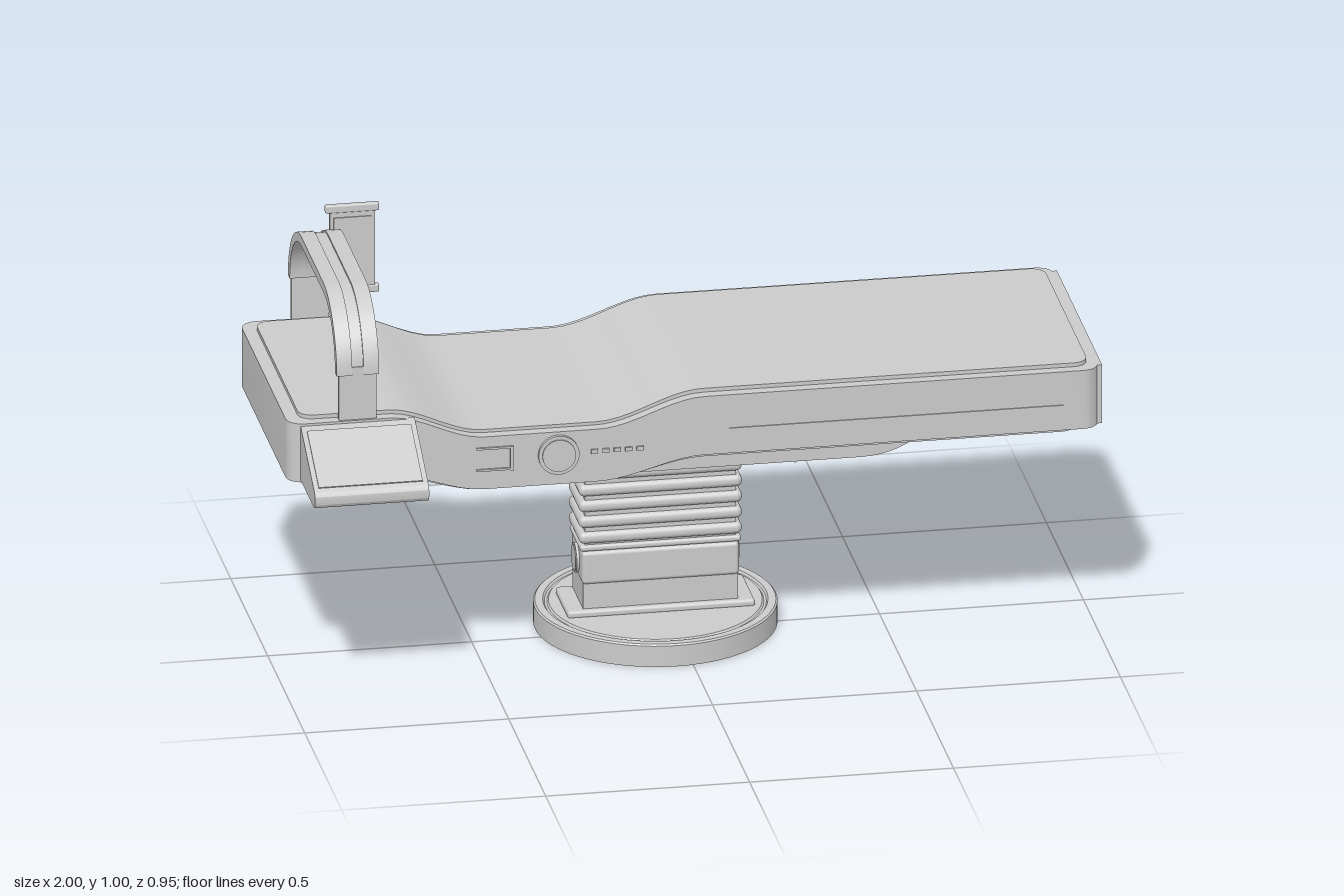
import * as THREE from 'three';
import { toCreasedNormals } from 'three/addons/utils/BufferGeometryUtils.js';
import { RoundedBoxGeometry } from 'three/addons/geometries/RoundedBoxGeometry.js';

const MID_Z = -0.053; // centre line of the table
const COL_X = -0.04; // centre of the column
const { smoothstep } = THREE.MathUtils;

// 1 along the lowered part of the table, 0 at both ends
const dip = (x) => smoothstep(x, -0.75, -0.52) * (1 - smoothstep(x, -0.24, 0.02));

// Slab with rounded plan corners; its top and bottom follow functions of x
function slab(x0, x1, halfZ, r, top, bottom) {
  const xs = [];
  const half = [];
  const add = (x, h) => { xs.push(x); half.push(h); };
  const N = 6;
  for (let i = 0; i <= N; i++) {
    const a = (i / N) * Math.PI / 2;
    add(x0 + r * (1 - Math.cos(a)), halfZ - r + r * Math.sin(a));
  }
  for (let i = 1; i < 70; i++) add(x0 + r + (x1 - x0 - 2 * r) * i / 70, halfZ);
  for (let i = N; i >= 0; i--) {
    const a = (i / N) * Math.PI / 2;
    add(x1 - r * (1 - Math.cos(a)), halfZ - r + r * Math.sin(a));
  }
  const pos = [];
  const index = [];
  xs.forEach((x, i) => {
    const h = half[i], t = top(x), b = bottom(x);
    pos.push(x, b, h, x, t, h, x, t, -h, x, b, -h);
    if (i === 0) return;
    for (let k = 0; k < 4; k++) {
      const a = (i - 1) * 4 + k, c = (i - 1) * 4 + (k + 1) % 4;
      index.push(a, a + 4, c, c, a + 4, c + 4);
    }
  });
  const e = (xs.length - 1) * 4;
  index.push(0, 1, 2, 0, 2, 3, e, e + 2, e + 1, e, e + 3, e + 2);
  const g = new THREE.BufferGeometry();
  g.setAttribute('position', new THREE.Float32BufferAttribute(pos, 3));
  g.setIndex(index);
  return toCreasedNormals(g, 0.5);
}

// Shape extruded symmetrically about its own plane
function extrude(shape, depth) {
  const g = new THREE.ExtrudeGeometry(shape, { depth, bevelEnabled: false, curveSegments: 14 });
  g.translate(0, 0, -depth / 2);
  return toCreasedNormals(g, 0.5);
}

export function createModel() {
  const root = new THREE.Group();
  const grey = new THREE.MeshStandardMaterial({ color: 0xcccccc });
  const add = (name, geo, x = 0, y = 0, z = 0, parent = root) => {
    const m = new THREE.Mesh(geo, grey);
    m.name = name;
    m.position.set(x, y, z);
    parent.add(m);
    return m;
  };
  const box = (name, w, h, d, x, y, z, parent) => add(name, new THREE.BoxGeometry(w, h, d), x, y, z, parent);
  const rbox = (name, w, h, d, r, x, y, z) => add(name, new RoundedBoxGeometry(w, h, d, 3, r), x, y, z);
  const disc = (name, r, len, x, y, z, axis) => {
    const m = add(name, new THREE.CylinderGeometry(r, r, len, 36), x, y, z);
    if (axis === 'x') m.rotation.z = Math.PI / 2;
    if (axis === 'z') m.rotation.x = Math.PI / 2;
    return m;
  };

  // Table top: frame, mattress and bottom plate
  add('tableFrame', slab(-1, 0.99, 0.333, 0.04,
    (x) => 0.714 - 0.066 * dip(x), (x) => 0.562 - 0.05 * dip(x)), 0, 0, MID_Z);
  add('mattress', slab(-0.967, 0.967, 0.305, 0.035,
    (x) => 0.724 - 0.068 * dip(x), (x) => 0.69 - 0.066 * dip(x)), 0, 0, MID_Z);
  add('bottomPlate', slab(-0.96, 0.935, 0.315, 0.035,
    (x) => 0.58 - 0.05 * dip(x), (x) => 0.551 - 0.046 * dip(x)), 0, 0, MID_Z);

  // Framed panel on the foot end
  const ring = new THREE.Shape();
  ring.moveTo(-0.305, -0.076).lineTo(0.305, -0.076).lineTo(0.305, 0.076).lineTo(-0.305, 0.076).closePath();
  const hole = new THREE.Path();
  hole.moveTo(-0.287, -0.056).lineTo(-0.287, 0.056).lineTo(0.287, 0.056).lineTo(0.287, -0.056).closePath();
  ring.holes.push(hole);
  add('footPanelFrame', extrude(ring, 0.016), 0.992, 0.638, MID_Z).rotation.y = Math.PI / 2;
  box('footPanel', 0.008, 0.09, 0.55, 0.989, 0.64, MID_Z);

  // Side rails and rear service panel
  for (const s of [-1, 1]) box('sideRail', 0.82, 0.012, 0.006, 0.49, 0.622, MID_Z + s * 0.333);
  box('rearPanel', 0.3, 0.105, 0.006, -0.38, 0.58, MID_Z - 0.333);

  // Curved housing and narrower tray underneath
  const housing = new THREE.Shape();
  housing.moveTo(-0.74, 0.56).bezierCurveTo(-0.66, 0.53, -0.64, 0.465, -0.52, 0.465);
  housing.lineTo(0.43, 0.465).bezierCurveTo(0.56, 0.465, 0.58, 0.545, 0.72, 0.56).closePath();
  add('underHousing', extrude(housing, 0.36), 0, 0, MID_Z);
  const tray = new THREE.Shape();
  tray.moveTo(-0.73, 0.54).bezierCurveTo(-0.65, 0.51, -0.63, 0.446, -0.52, 0.446);
  tray.lineTo(-0.39, 0.446).lineTo(-0.39, 0.54).closePath();
  add('underTray', extrude(tray, 0.3), 0, 0, MID_Z);
  for (const x of [-0.35, 0.272]) box('housingBand', 0.008, 0.045, 0.364, x, 0.486, MID_Z);

  // Round base
  const rim = [[0, 0], [0.295, 0], [0.295, 0.054], [0.291, 0.058], [0.272, 0.058], [0.268, 0.052], [0.262, 0.052], [0.258, 0.057], [0, 0.057]];
  add('base', toCreasedNormals(new THREE.LatheGeometry(rim.map((p) => new THREE.Vector2(...p)), 64), 0.5), COL_X, 0, MID_Z);

  // Column: foot plate, lower block, collar and bellows
  rbox('columnPlate', 0.46, 0.02, 0.17, 0.008, COL_X, 0.063, MID_Z);
  box('columnLower', 0.38, 0.08, 0.14, COL_X, 0.1, MID_Z);
  rbox('columnCollar', 0.385, 0.085, 0.152, 0.01, COL_X, 0.179, MID_Z);
  box('bellowsCore', 0.37, 0.26, 0.134, COL_X, 0.34, MID_Z);
  for (let i = 0; i < 5; i++) rbox('bellowsFold', 0.4, 0.031, 0.156, 0.014, COL_X, 0.257 + i * 0.041, MID_Z);
  rbox('bellowsSeal', 0.395, 0.016, 0.15, 0.007, COL_X, 0.23, MID_Z);
  for (const s of [-1, 1]) {
    disc('columnCap', 0.037, 0.012, COL_X + s * 0.193, 0.18, MID_Z, 'x');
    disc('columnCapCentre', 0.032, 0.016, COL_X + s * 0.193, 0.18, MID_Z, 'x');
  }

  // Arch over the head end: band with raised edges, on two thin posts
  const archBand = (w, out, inn) => {
    const s = new THREE.Shape();
    const b = 0.15;
    s.moveTo(-out, 0.83).bezierCurveTo(-out, 0.925, -b - 0.09, 0.978 + out - 0.306, -b, 0.978 + out - 0.306);
    s.lineTo(b, 0.978 + out - 0.306).bezierCurveTo(b + 0.09, 0.978 + out - 0.306, out, 0.925, out, 0.83);
    s.lineTo(inn, 0.83).bezierCurveTo(inn, 0.915, b + 0.08, 0.978, b, 0.978);
    s.lineTo(-b, 0.978).bezierCurveTo(-b - 0.08, 0.978, -inn, 0.915, -inn, 0.83).closePath();
    return extrude(s, w);
  };
  for (const x of [-0.862, -0.796]) add('archBand', archBand(0.038, 0.33, 0.306), x, 0, MID_Z).rotation.y = Math.PI / 2;
  add('archCentre', archBand(0.03, 0.325, 0.306), -0.829, 0, MID_Z).rotation.y = Math.PI / 2;
  for (const s of [-1, 1]) box('archPost', 0.092, 0.15, 0.011, -0.829, 0.775, MID_Z + s * 0.321);

  // Wedge console on the front of the head end
  const wedge = new THREE.Shape();
  wedge.moveTo(0.27, 0.568).lineTo(0.455, 0.568).quadraticCurveTo(0.474, 0.568, 0.474, 0.585);
  wedge.lineTo(0.474, 0.598).quadraticCurveTo(0.474, 0.606, 0.465, 0.611).lineTo(0.28, 0.708).lineTo(0.27, 0.708).closePath();
  add('wedgeConsole', extrude(wedge, 0.28), -0.83, 0, 0).rotation.y = -Math.PI / 2;
  const screen = box('wedgeScreen', 0.255, 0.004, 0.18, -0.83, 0.659, 0.376);
  screen.rotation.x = Math.atan2(0.097, 0.185);

  // Front controls: bracket, knob and buttons
  const front = 0.281;
  box('bracketBar', 0.008, 0.062, 0.014, -0.453, 0.59, front);
  for (const y of [0.562, 0.618]) box('bracketArm', 0.085, 0.005, 0.008, -0.497, y, front);
  disc('knobRing', 0.05, 0.016, -0.338, 0.59, front, 'z');
  disc('knob', 0.041, 0.024, -0.338, 0.59, front, 'z');
  for (let i = 0; i < 5; i++) box('button', 0.017, 0.01, 0.008, -0.25 + i * 0.028, 0.592, front);

  // Swivel mount and upright monitor at the back
  const px = -0.715, py = 0.667;
  disc('mountFlange', 0.04, 0.026, px, py, -0.397, 'z');
  disc('mountNeck', 0.033, 0.03, px, py, -0.42, 'z');
  disc('mountHub', 0.028, 0.046, px, py, -0.442, 'z');
  disc('mountKnob', 0.021, 0.014, px, py, -0.465, 'z');
  disc('monitorStem', 0.008, 0.09, px, 0.725, -0.434);
  rbox('stemCollar', 0.03, 0.02, 0.026, 0.004, px, 0.754, -0.433);
  box('monitor', 0.11, 0.2, 0.012, px, 0.867, -0.433);
  box('monitorScreen', 0.092, 0.17, 0.018, px, 0.867, -0.433);
  for (const y of [0.762, 0.974]) rbox('monitorEnd', 0.132, 0.02, 0.016, 0.004, px, y, -0.433);

  return root;
}
